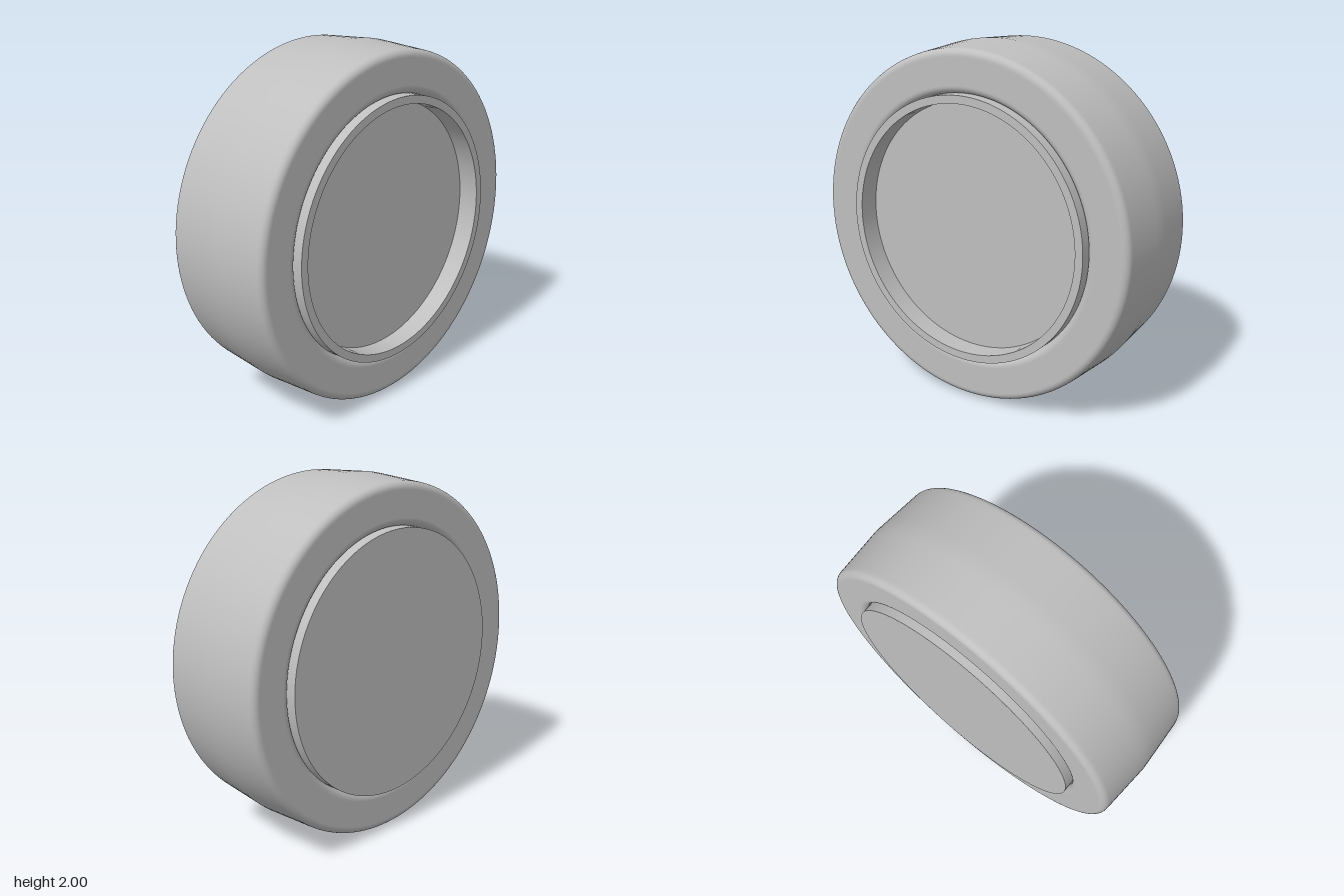
import * as THREE from 'three';
import { mergeGeometries } from 'three/addons/utils/BufferGeometryUtils.js';

const SEGMENTS = 128;
const HUB_R = 0.745, HUB_Z = 0.375;
const RECESS_R = 0.70, RECESS_Z = 0.255;

// quarter-round points in (radius, axis) space
function arc(cr, cz, radius, from, to, steps = 8) {
  return Array.from({ length: steps + 1 }, (_, i) => {
    const a = THREE.MathUtils.degToRad(from + ((to - from) * i) / steps);
    return new THREE.Vector2(cr + radius * Math.cos(a), cz + radius * Math.sin(a));
  });
}

// each pair of neighbouring points becomes its own band, so edges stay sharp
function sharpLathe(points) {
  const bands = [];
  for (let i = 0; i < points.length - 1; i++) {
    const pair = [points[i], points[i + 1]].map(([r, z]) => new THREE.Vector2(r, z));
    bands.push(new THREE.LatheGeometry(pair, SEGMENTS));
  }
  return mergeGeometries(bands);
}

export function createModel() {
  const group = new THREE.Group();
  group.name = 'wheel';
  const grey = new THREE.MeshStandardMaterial({ color: 0xbfbfbf });
  grey.name = 'grey';

  const add = (name, geometry) => {
    // turn the lathe axis to lie level, pointing between +x and +z
    geometry.rotateX(Math.PI / 2).rotateY(Math.PI / 4).translate(0, 1, 0);
    const mesh = new THREE.Mesh(geometry, grey);
    mesh.name = name;
    group.add(mesh);
  };

  // tyre: rounded shoulders and a shallow crowned tread
  const tyreProfile = [
    ...arc(0.785, -0.30, 0.04, -180, -90),
    new THREE.Vector2(0.79, -0.34),
    new THREE.Vector2(0.935, -0.34),
    ...arc(0.941, -0.30, 0.04, -90, -4),
    new THREE.Vector2(0.982, -0.29),
    new THREE.Vector2(0.997, -0.05),
    new THREE.Vector2(1, 0),
    new THREE.Vector2(0.997, 0.05),
    new THREE.Vector2(0.982, 0.29),
    ...arc(0.941, 0.30, 0.04, 4, 90),
    new THREE.Vector2(0.935, 0.34),
    new THREE.Vector2(0.79, 0.34),
    ...arc(0.785, 0.30, 0.04, 90, 180),
  ];
  add('tyre', new THREE.LatheGeometry(tyreProfile, SEGMENTS));

  // hub: closed flat back, raised rim and recessed disc on the front
  add('hubBack', sharpLathe([[0, -HUB_Z], [HUB_R, -HUB_Z]]));
  add('hubRim', sharpLathe([
    [HUB_R, -HUB_Z], [HUB_R, HUB_Z], [RECESS_R, HUB_Z], [RECESS_R, RECESS_Z],
  ]));
  add('recessedDisc', sharpLathe([[RECESS_R, RECESS_Z], [0, RECESS_Z]]));

  return group;
}
